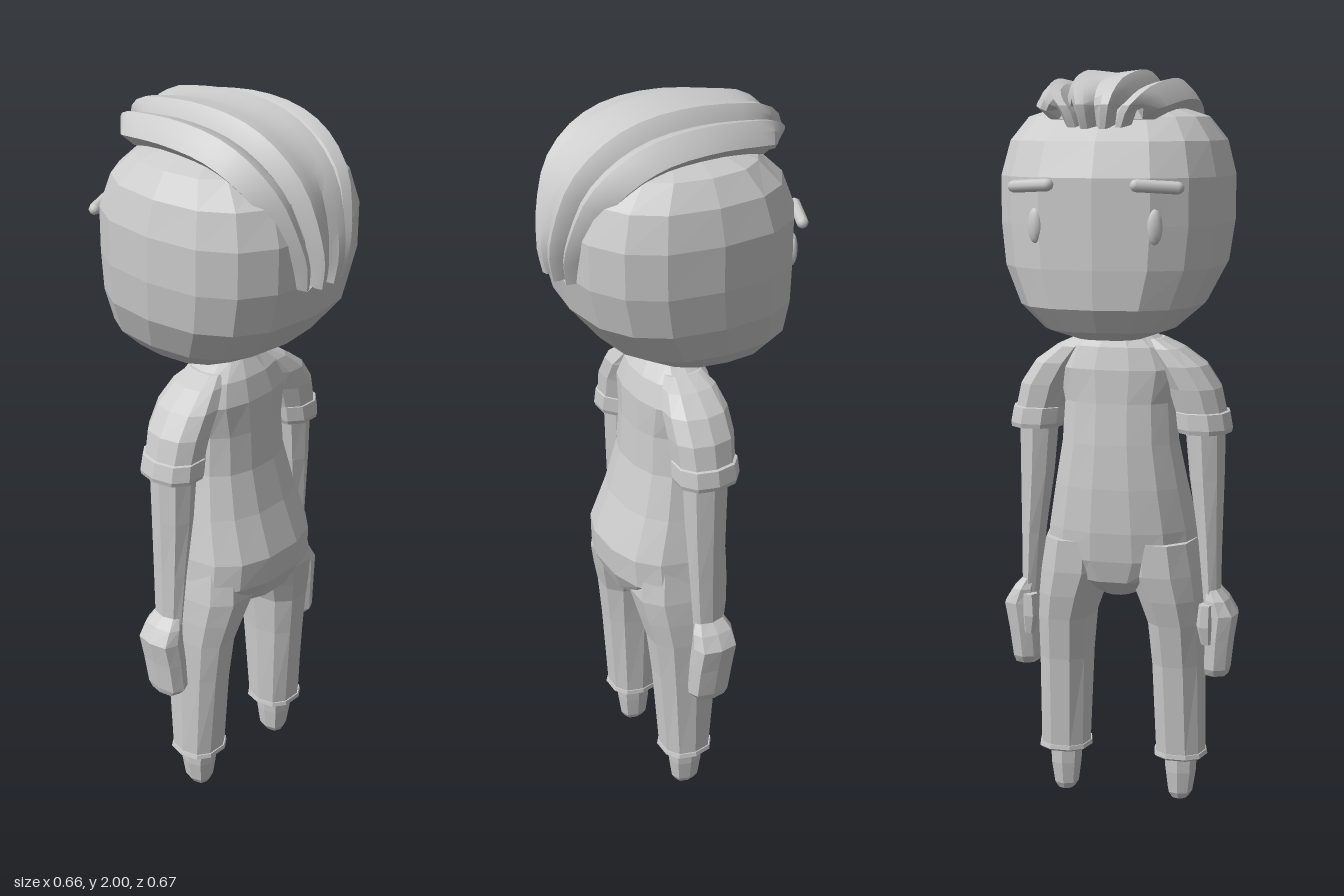
import * as THREE from 'three';
import { toCreasedNormals } from 'three/addons/utils/BufferGeometryUtils.js';

const clay = new THREE.MeshStandardMaterial({ color: 0xcccccc });
clay.name = 'light grey';

// Skin a list of closed point rings and cap both ends; crease 0 gives flat facets
function skin(rings, crease = 0) {
  const n = rings[0].length, pos = [], idx = [];
  rings.forEach(r => r.forEach(p => pos.push(p.x, p.y, p.z)));
  for (let i = 0; i < rings.length - 1; i++) {
    for (let j = 0; j < n; j++) {
      const a = i * n + j, b = i * n + (j + 1) % n;
      idx.push(a, a + n, b, b, a + n, b + n);
    }
  }
  [0, rings.length - 1].forEach((r, end) => {
    const c = new THREE.Vector3();
    rings[r].forEach(p => c.addScaledVector(p, 1 / n));
    const ci = pos.length / 3;
    pos.push(c.x, c.y, c.z);
    for (let j = 0; j < n; j++) {
      const a = r * n + j, b = r * n + (j + 1) % n;
      if (end) idx.push(ci, b, a); else idx.push(ci, a, b);
    }
  });
  const g = new THREE.BufferGeometry();
  g.setAttribute('position', new THREE.Float32BufferAttribute(pos, 3));
  g.setIndex(idx);
  if (crease) return toCreasedNormals(g, crease);
  const flat = g.toNonIndexed();
  flat.computeVertexNormals();
  return flat;
}

// Upright loft, bottom to top; each row is [y, xMin, xMax, zBack, zFront]
function loft(rows, sides, power = 2) {
  const f = v => Math.sign(v) * Math.pow(Math.abs(v), 2 / power);
  return skin(rows.map(([y, x0, x1, z0, z1]) => Array.from({ length: sides }, (_, j) => {
    const a = (j / sides) * Math.PI * 2;
    return new THREE.Vector3((x0 + x1) / 2 + f(Math.cos(a)) * (x1 - x0) / 2, y,
      (z0 + z1) / 2 + f(Math.sin(a)) * (z0 - z1) / 2);
  })));
}

const centred = rows => rows.map(([y, w, b, f]) => [y, -w, w, b, f]);
const mirrored = (rows, s) => rows.map(([y, a, b, z0, z1]) => s > 0 ? [y, a, b, z0, z1] : [y, -b, -a, z0, z1]);

// Swept-back hair: a ribbed section carried over the head from brow to nape
function hairGeometry() {
  const path = new THREE.CatmullRomCurve3([
    [0.085, 1.85, -0.305], [0.12, 1.915, -0.317], [0.16, 1.965, -0.27], [0.185, 1.99, -0.16],
    [0.2, 2.0, -0.03], [0.2, 1.985, 0.1], [0.19, 1.94, 0.2], [0.165, 1.86, 0.28],
    [0.13, 1.75, 0.32], [0.105, 1.67, 0.33], [0.09, 1.6, 0.318],
  ].map(p => new THREE.Vector3(...p)));          // x holds the half width
  const half = [[0.18, 0.004], [0.36, 0], [0.44, 0.02], [0.5, 0.045], [0.6, 0.03], [0.78, 0.022], [0.9, 0.045], [1, 0.075]];
  const top = [...half.map(([u, d]) => [-u, d]).reverse(), [0, 0.008], ...half];
  const section = [...top, [0.8, 0.11], [0, 0.11], [-0.8, 0.11]];
  const N = 22, rings = [];
  for (let i = 0; i <= N; i++) {
    const t = i / N, p = path.getPoint(t), g = path.getTangent(t);
    const len = Math.hypot(g.y, g.z), ny = g.z / len, nz = -g.y / len;
    const e = Math.pow(Math.abs(2 * t - 1), 3);  // grooves deepen towards the ends
    rings.push(section.map(([u, d]) => {
      const groove = u === 0 && d < 0.1 ? 0.03 : Math.abs(u) === 0.5 ? 0.025 : 0;
      const depth = d * (1 - 0.25 * e) + groove * e;
      return new THREE.Vector3(u * p.x, p.y - ny * depth, p.z - nz * depth);
    }));
  }
  return skin(rings, 0.45);
}

export function createModel() {
  const model = new THREE.Group();
  const add = (name, geometry) => {
    const m = new THREE.Mesh(geometry, clay);
    m.name = name;
    model.add(m);
    return m;
  };

  // Head with a flattened face at -z
  add('head', loft(centred([
    [1.31, 0.09, -0.0, -0.2], [1.338, 0.17, 0.07, -0.275], [1.4, 0.24, 0.18, -0.315],
    [1.5, 0.288, 0.262, -0.32], [1.61, 0.302, 0.29, -0.32], [1.73, 0.302, 0.292, -0.32],
    [1.82, 0.28, 0.262, -0.285], [1.88, 0.235, 0.19, -0.22], [1.915, 0.13, 0.1, -0.13],
  ]), 16, 2.6));
  add('hair', hairGeometry());

  // Neck and torso
  add('neck', loft(centred([[1.28, 0.06, 0.045, -0.08], [1.36, 0.05, 0.035, -0.07]]), 8));
  add('torso', loft(centred([
    [0.595, 0.05, 0.09, -0.07], [0.64, 0.15, 0.155, -0.115], [0.7, 0.215, 0.18, -0.13],
    [0.78, 0.208, 0.185, -0.138], [0.9, 0.185, 0.14, -0.138], [1.02, 0.162, 0.108, -0.132],
    [1.13, 0.155, 0.1, -0.122], [1.22, 0.175, 0.098, -0.118], [1.28, 0.145, 0.08, -0.105],
    [1.325, 0.075, 0.05, -0.085],
  ]), 14, 2.3));

  for (const s of [1, -1]) {
    const side = s > 0 ? 'left' : 'right';
    const part = (name, rows, sides, power) => add(side + name, loft(mirrored(rows, s), sides, power));

    // Short sleeve with a turned hem
    part('Sleeve', [
      [1.05, 0.16, 0.305, 0.078, -0.095], [1.062, 0.155, 0.308, 0.082, -0.098],
      [1.105, 0.15, 0.3, 0.08, -0.095], [1.107, 0.15, 0.292, 0.076, -0.09],
      [1.17, 0.13, 0.278, 0.08, -0.095], [1.23, 0.1, 0.238, 0.078, -0.095],
      [1.275, 0.08, 0.175, 0.06, -0.085], [1.3, 0.07, 0.12, 0.04, -0.065],
    ], 10, 2.3);
    part('Arm', [
      [0.58, 0.232, 0.28, 0.035, -0.055], [0.75, 0.215, 0.282, 0.045, -0.06],
      [0.92, 0.19, 0.286, 0.055, -0.065], [1.08, 0.175, 0.288, 0.06, -0.07],
    ], 8, 2.2);

    // Mitten hand and thumb
    part('Hand', [
      [0.375, 0.238, 0.302, 0.04, -0.05], [0.395, 0.234, 0.308, 0.058, -0.062],
      [0.48, 0.236, 0.318, 0.055, -0.07], [0.55, 0.24, 0.33, 0.05, -0.075],
      [0.59, 0.24, 0.305, 0.045, -0.07], [0.625, 0.238, 0.272, 0.03, -0.05],
    ], 8, 2.8);
    part('Thumb', [
      [0.47, 0.235, 0.265, -0.045, -0.075], [0.52, 0.222, 0.27, -0.03, -0.085],
      [0.58, 0.228, 0.27, -0.03, -0.08],
    ], 6);

    // Trouser leg, cuff and pointed foot
    part('Leg', [
      [0.135, 0.095, 0.236, 0.085, -0.056], [0.4, 0.085, 0.235, 0.105, -0.08],
      [0.52, 0.075, 0.235, 0.118, -0.1], [0.59, 0.05, 0.232, 0.135, -0.115],
      [0.66, 0.02, 0.226, 0.15, -0.124], [0.75, 0.02, 0.21, 0.14, -0.125],
    ], 10, 2.4);
    part('Cuff', [
      [0.124, 0.098, 0.234, 0.083, -0.054], [0.13, 0.09, 0.242, 0.091, -0.061],
      [0.142, 0.092, 0.239, 0.089, -0.06],
    ], 10, 2.4);
    part('Foot', [
      [0, 0.142, 0.188, 0.042, -0.016], [0.018, 0.13, 0.2, 0.053, -0.026],
      [0.08, 0.122, 0.21, 0.062, -0.034], [0.14, 0.118, 0.212, 0.066, -0.036],
    ], 8, 2.4);

    // Eyebrow and eye lying on the face
    const brow = add(side + 'Eyebrow', new THREE.CapsuleGeometry(0.016, 0.105, 3, 8));
    brow.rotation.set(0, s * -0.36, Math.PI / 2 - s * 0.06, 'YXZ');
    brow.position.set(s * 0.163, 1.71, -0.304);
    const eye = add(side + 'Eye', new THREE.SphereGeometry(1, 10, 8));
    eye.scale.set(0.02, 0.045, 0.013);
    eye.rotation.y = s * -0.33;
    eye.position.set(s * 0.155, 1.61, -0.295);
  }
  return model;
}
